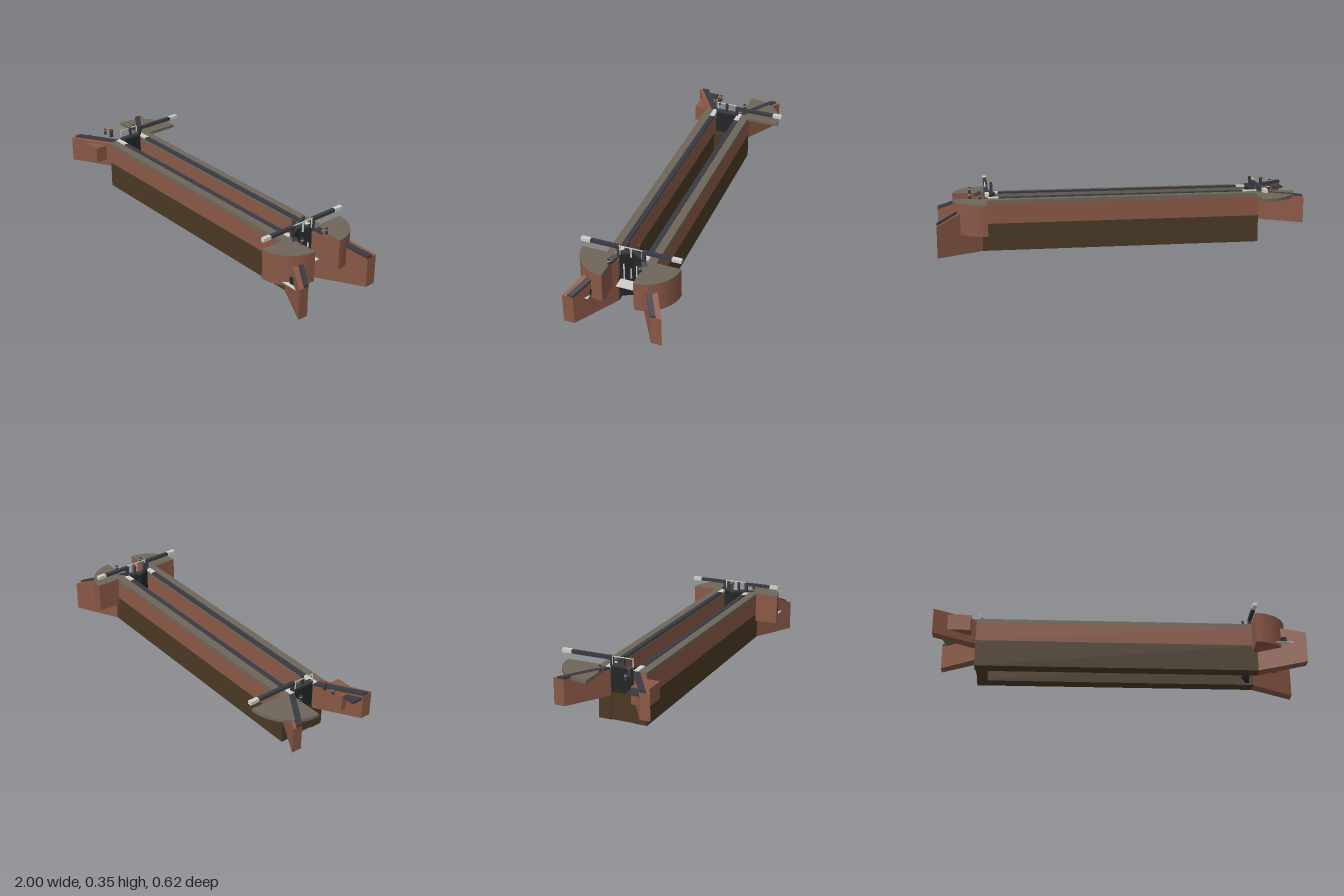
import * as THREE from 'three';
import { ConvexGeometry } from 'three/addons/geometries/ConvexGeometry.js';

const paint = (name, color) => {
  const m = new THREE.MeshStandardMaterial({ color });
  m.name = name;
  return m;
};

export function createModel() {
  const brick = paint('brick', 0x8a5846);
  const earth = paint('wet brown wall', 0x4a3824);
  const stone = paint('grey stone', 0x6e665a);
  const slate = paint('dark coping', 0x3a3b42);
  const black = paint('black timber', 0x242627);
  const white = paint('white paint', 0xd0d0ca);
  const rust = paint('rust brown', 0x70462f);

  const root = new THREE.Group();
  root.name = 'canalLock';
  const MID = 0.035; // centre line of the channel

  const add = (name, geo, mat, x = 0, y = 0, z = 0) => {
    const m = new THREE.Mesh(geo, mat);
    m.name = name;
    m.position.set(x, y, z);
    root.add(m);
    return m;
  };
  // box given by its limits on each axis
  const box = (name, mat, x0, x1, y0, y1, z0, z1) =>
    add(name, new THREE.BoxGeometry(Math.abs(x1 - x0), Math.abs(y1 - y0), Math.abs(z1 - z0)), mat,
      (x0 + x1) / 2, (y0 + y1) / 2, (z0 + z1) / 2);
  const cyl = (name, mat, r, x, y0, y1, z, n = 10) =>
    add(name, new THREE.CylinderGeometry(r, r, y1 - y0, n), mat, x, (y0 + y1) / 2, z);
  // convex solid over plan corners [x, z, top], standing on or hanging below by a rule
  const solid = (name, mat, plan, bottom) => {
    const pts = [];
    for (const [x, z, top] of plan) {
      pts.push(new THREE.Vector3(x, top, z), new THREE.Vector3(x, bottom(top), z));
    }
    return add(name, new ConvexGeometry(pts), mat);
  };
  // quarter disc with its corner at x, z and opening toward sx, sz
  const quarter = (name, mat, r, x, z, sx, sz, y0, y1) => {
    const s = new THREE.Shape();
    s.moveTo(0, 0);
    for (let i = 0; i <= 12; i++) {
      const a = (i / 12) * Math.PI / 2;
      s.lineTo(r * Math.cos(a), r * Math.sin(a));
    }
    const g = new THREE.ExtrudeGeometry(s, { depth: y1 - y0, bevelEnabled: false });
    g.rotateX(-Math.PI / 2); // shape now opens toward +x, -z
    if (sz > 0 && sx > 0) g.rotateY(-Math.PI / 2);
    if (sz < 0 && sx < 0) g.rotateY(Math.PI / 2);
    return add(name, g, mat, x, y0, z);
  };
  const bollard = (x, z) => {
    cyl('bollard', slate, 0.008, x, 0.28, 0.302, z);
    cyl('bollardBand', white, 0.0085, x, 0.302, 0.306, z);
    cyl('bollardCap', slate, 0.008, x, 0.306, 0.312, z);
  };

  for (const s of [1, -1]) {
    const Z = d => MID + s * d;

    // chamber wall, wet lower part and stone copings
    box('lowerWall', earth, -0.78, 0.757, 0, 0.15, Z(0.065), Z(0.135));
    box('upperWall', brick, -0.78, 0.757, 0.15, 0.257, Z(0.065), Z(0.135));
    box('wallTop', stone, -0.78, 0.735, 0.257, 0.28, Z(0.065), Z(0.135));
    box('edgeCoping', slate, -0.70, 0.665, 0.275, 0.284, Z(0.063), Z(0.09));
    box('cornerStone', white, -0.78, -0.70, 0.275, 0.285, Z(0.063), Z(0.09));
    box('cornerStone', white, 0.665, 0.725, 0.275, 0.285, Z(0.063), Z(0.09));

    // sloping lower wing wall
    solid('lowerWing', brick, [
      [0.757, Z(0.065), 0.278], [0.757, Z(0.135), 0.278],
      [1, Z(0.267), 0.17], [1, Z(0.208), 0.17]], () => 0);
    solid('lowerWingCoping', slate, [
      [0.757, Z(0.063), 0.29], [0.757, Z(0.096), 0.29],
      [1, Z(0.237), 0.182], [1, Z(0.206), 0.182]], t => t - 0.015);

    // level upper wing wall
    solid('upperWing', brick, [
      [-0.78, Z(0.065), 0.272], [-0.78, Z(0.135), 0.272],
      [-1, Z(0.262), 0.272], [-1, Z(0.205), 0.272]], () => 0.13);
    solid('upperWingCoping', slate, [
      [-0.78, Z(0.063), 0.281], [-0.78, Z(0.1), 0.281],
      [-1, Z(0.24), 0.281], [-1, Z(0.203), 0.281]], () => 0.27);

    // rounded abutment beside the lower gates
    quarter('abutment', brick, 0.185, 0.73, Z(0.085), 1, s, 0.11, 0.276);
    quarter('abutmentTop', stone, 0.185, 0.73, Z(0.085), 1, s, 0.276, 0.281);

    // mitred gate leaf with top rail
    const leaf = (name, mat, y0, y1, w) => solid(name, mat, [
      [0.717 - w, Z(0.066), y1], [0.736 + w, Z(0.066), y1],
      [0.702 + w, Z(0), y1], [0.684 - w, Z(0), y1]], () => y0);
    leaf('gateLeaf', black, 0.012, 0.285, 0);
    leaf('gateTopRail', slate, 0.285, 0.297, 0.002);

    // balance beam with white tip
    box('heelPost', slate, 0.722, 0.742, 0.27, 0.342, Z(0.063), Z(0.077));
    box('balanceBeam', slate, 0.722, 0.742, 0.325, 0.342, Z(0.065), Z(0.225));
    box('beamTip', white, 0.721, 0.743, 0.324, 0.343, Z(0.222), Z(0.273));

    // paddle gear and handrail on the gate
    box('paddlePost', slate, 0.695, 0.708, 0.29, 0.348, Z(0.027), Z(0.038));
    box('paddleCap', rust, 0.694, 0.709, 0.345, 0.349, Z(0.028), Z(0.037));
    for (const d of [0.003, 0.061]) {
      box('railPost', white, 0.733, 0.738, 0.285, 0.342, Z(d - 0.002), Z(d + 0.002));
    }
    box('handrail', white, 0.733, 0.738, 0.34, 0.344, Z(0), Z(0.066));

    bollard(0.82, Z(0.085));
  }

  // leaks running down the lower gates into foam
  for (const [z, top] of [[0.08, 0.225], [0.048, 0.19], [0.015, 0.218], [-0.012, 0.2]]) {
    const x = 0.705 + 0.034 * Math.abs(z - MID) / 0.066;
    box('leak', white, x - 0.003, x + 0.004, 0.128, top, z - 0.003, z + 0.003);
  }
  box('foam', white, 0.735, 0.8, 0.126, 0.13, -0.027, 0.098);

  // overflow outlet through the lower wing
  box('outlet', black, 0.875, 0.912, 0.13, 0.165, 0.185, 0.25);
  box('outletFoam', white, 0.84, 0.94, 0.126, 0.13, 0.19, 0.268);

  // upper sill, single head gate and its beam
  box('upperSill', earth, -0.775, -0.72, 0, 0.15, -0.03, 0.1);
  box('headGate', black, -0.775, -0.752, 0.15, 0.287, -0.03, 0.1);
  box('headGateRail', slate, -0.777, -0.75, 0.285, 0.297, -0.03, 0.1);
  box('headHeelPost', slate, -0.772, -0.752, 0.28, 0.338, -0.035, -0.022);
  box('headBeam', slate, -0.772, -0.752, 0.318, 0.336, -0.255, -0.022);
  box('headBeamTip', white, -0.773, -0.751, 0.318, 0.338, -0.308, -0.255);
  box('headPaddlePost', slate, -0.769, -0.755, 0.29, 0.348, 0.03, 0.042);
  for (const z of [-0.02, 0.095]) box('headRailPost', white, -0.776, -0.772, 0.285, 0.34, z - 0.002, z + 0.002);
  box('headHandrail', white, -0.776, -0.772, 0.338, 0.342, -0.022, 0.097);

  // thin platform for the head beam
  quarter('beamPlatform', stone, 0.235, -0.755, -0.05, -1, -1, 0.263, 0.28);

  // overflow intake behind the upper wing
  box('intakeBlock', brick, -0.93, -0.803, 0.17, 0.26, 0.16, 0.255);
  box('intakeWater', slate, -1, -0.88, 0.247, 0.258, 0.17, 0.235);

  // bollards and ground paddle by the head gate
  bollard(-0.905, 0.12);
  bollard(-0.85, -0.05);
  box('groundPaddle', slate, -0.857, -0.843, 0.28, 0.318, 0.105, 0.122);
  box('groundPaddleCap', rust, -0.86, -0.84, 0.318, 0.326, 0.103, 0.124);

  return root;
}
